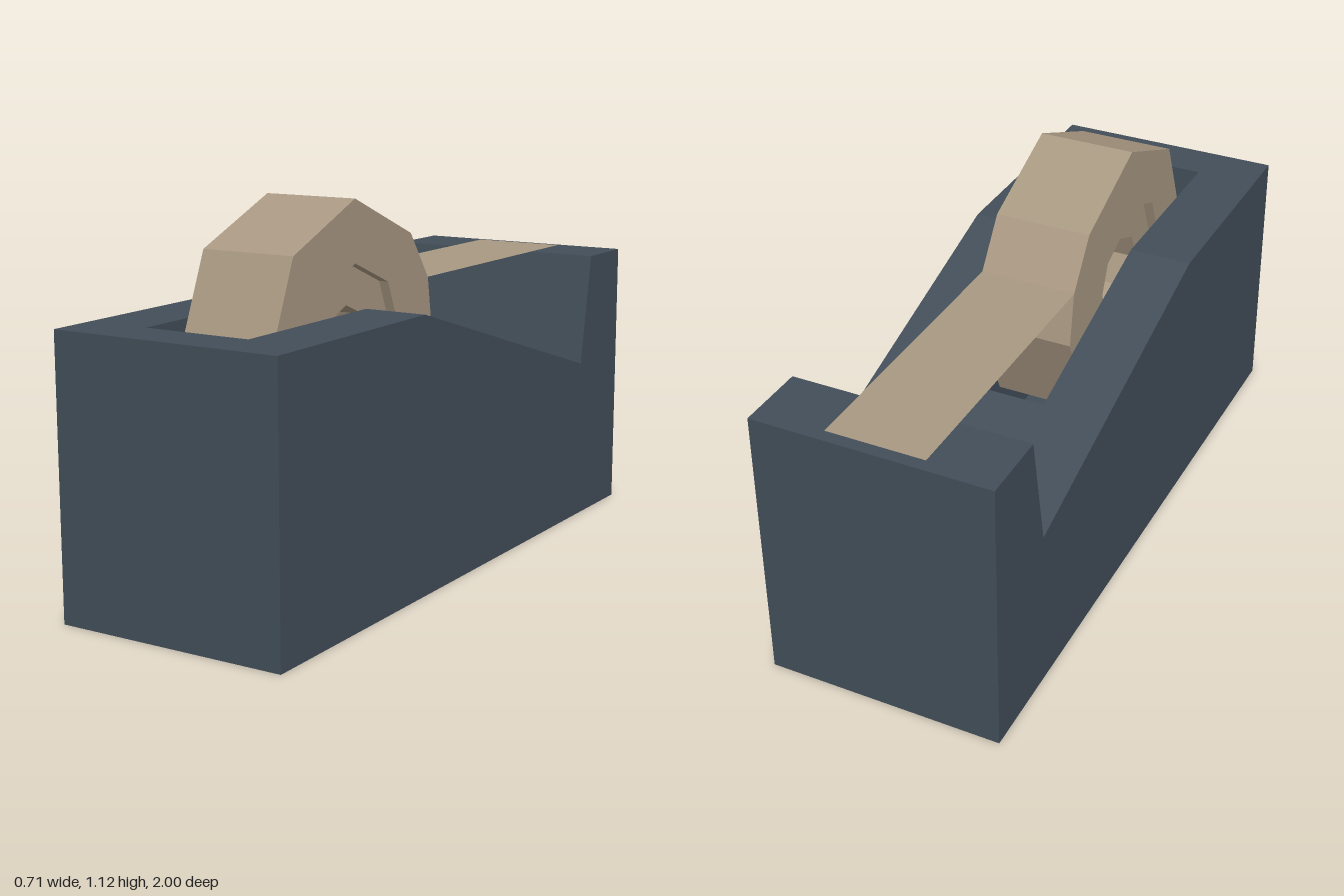
import * as THREE from 'three';
import { mergeGeometries } from 'three/addons/utils/BufferGeometryUtils.js';

const bodyMat = new THREE.MeshStandardMaterial({ name: 'slate', color: 0x424e58 });
const tapeMat = new THREE.MeshStandardMaterial({ name: 'tan', color: 0xa89882, side: THREE.DoubleSide });

// Profiles are lists of [z, y]; surfaces are swept along x.
// Quads from x0 to x1 along an open profile.
function sweep(points, x0, x1) {
  const pos = [];
  for (let i = 0; i + 1 < points.length; i++) {
    const [az, ay] = points[i], [bz, by] = points[i + 1];
    pos.push(x0, ay, az, x1, ay, az, x1, by, bz, x0, ay, az, x1, by, bz, x0, by, bz);
  }
  const g = new THREE.BufferGeometry();
  g.setAttribute('position', new THREE.Float32BufferAttribute(pos, 3));
  g.computeVertexNormals();
  return g;
}

// Flat side at x, facing +x (dir 1) or -x (dir -1), with an optional hole.
function cap(points, x, dir, hole) {
  const flat = (list) => list.map(([z, y]) => new THREE.Vector2(-dir * z, y));
  const shape = new THREE.Shape(flat(points));
  if (hole) shape.holes.push(new THREE.Path(flat(hole)));
  const g = new THREE.ShapeGeometry(shape).toNonIndexed();
  g.deleteAttribute('uv');
  g.rotateY(dir * Math.PI / 2);
  g.translate(x, 0, 0);
  return g;
}

function part(name, pieces, material) {
  const mesh = new THREE.Mesh(mergeGeometries(pieces), material);
  mesh.name = name;
  return mesh;
}

// Octagon around the roll centre, from the front over the top to the back.
function octagon(r) {
  const pts = [];
  for (let i = 0; i < 8; i++) {
    const a = i * Math.PI / 4;
    pts.push([0.32 + r * Math.cos(a), 0.69 + r * Math.sin(a)]);
  }
  return pts;
}
const closed = (pts) => [...pts, pts[0]];

function makeBody() {
  const W = 0.355, S = 0.165;
  const slotFront = [0.855, 0.81], bend = [0.29, 0.81], slotBack = [-0.325, 0.625];
  const floorFront = [0.855, 0.2], floorBack = [-0.295, 0.2];
  const head = [[1, 0], [1, 0.81], slotFront];
  const tail = [slotBack, [-0.725, 0.505], [-0.785, 0.85], [-1, 0.85], [-1, 0], [1, 0]];
  const rim = [slotFront, bend, slotBack];
  const outline = [...head, bend, ...tail.slice(0, -1)];
  const slotSide = [...rim, floorBack, floorFront];
  return part('dispenserBody', [
    sweep(head, -W, W),
    sweep(tail, -W, W),
    sweep(rim, -W, -S),
    sweep(rim, S, W),
    sweep([slotFront, floorFront, floorBack, slotBack], -S, S),
    ...[1, -1].flatMap((d) => [cap(outline, d * W, d), cap(slotSide, d * S, -d)]),
  ], bodyMat);
}

function makeRoll() {
  const W = 0.147, H = 0.117;
  const outer = octagon(0.43), recess = octagon(0.25), bore = octagon(0.13);
  outer.splice(4, 0, [-0.085, 0.852]); // where the tape leaves the roll
  const inward = (pts) => closed(pts).reverse();
  return part('tapeRoll', [
    sweep(closed(outer), -W, W),
    sweep(inward(recess), -W, -H),
    sweep(inward(recess), H, W),
    sweep(inward(bore), -H, H),
    ...[1, -1].flatMap((d) => [cap(outer, d * W, d, recess), cap(recess, d * H, d, bore)]),
  ], tapeMat);
}

export function createModel() {
  const model = new THREE.Group();
  model.name = 'tapeDispenser';
  model.add(makeBody(), makeRoll());
  // Loose tape stretched to the cutting block
  model.add(part('tapeStrip', [sweep([[-0.085, 0.853], [-0.965, 0.853]], -0.147, 0.147)], tapeMat));
  return model;
}
